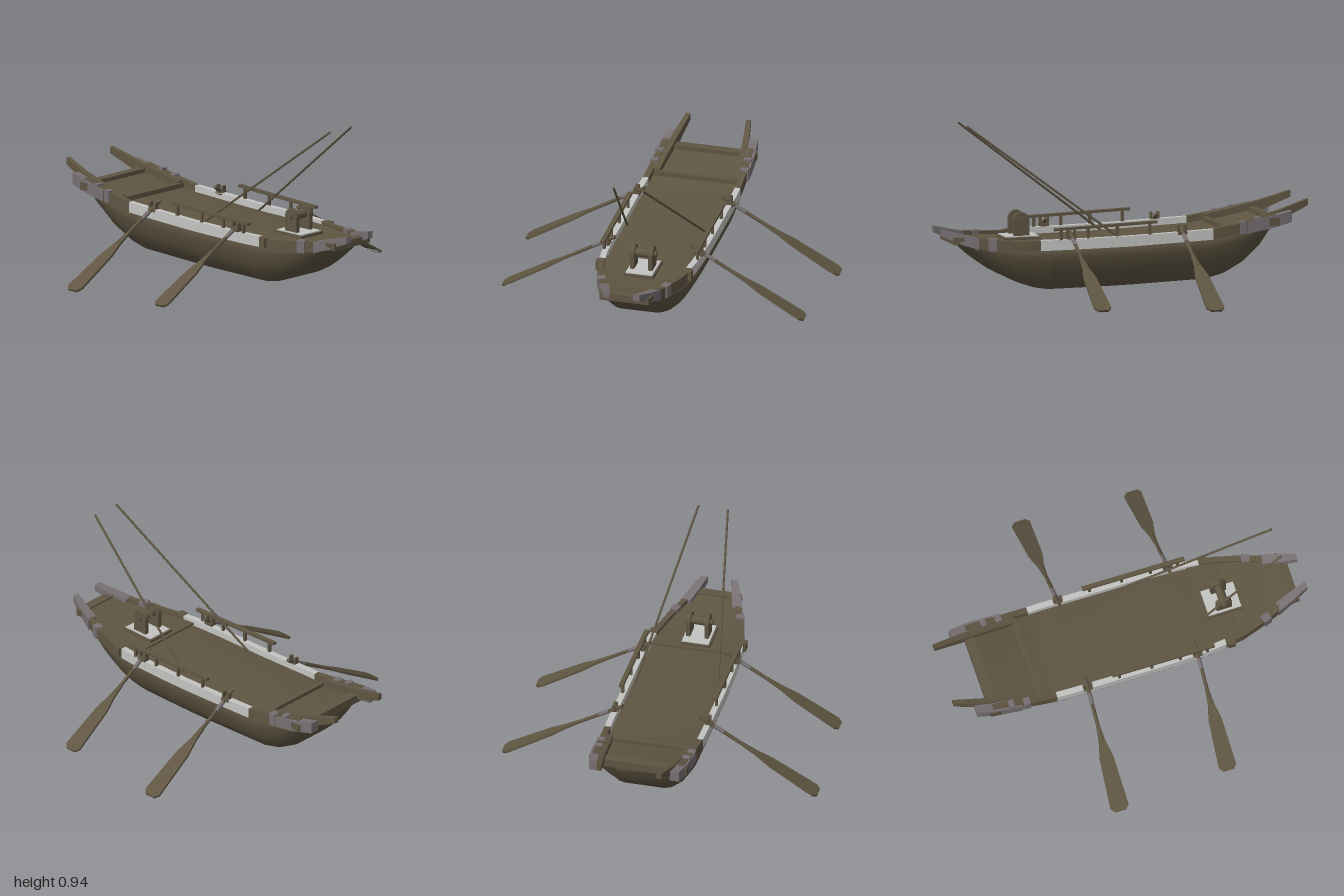
import * as THREE from 'three';

export function createModel() {
  const boat = new THREE.Group();
  boat.name = 'rowingBarge';
  const mat = (name, color, extra = {}) => Object.assign(new THREE.MeshStandardMaterial({ color, side: THREE.DoubleSide, ...extra }), { name });
  const wood = mat('wood', 0x5f5542);
  const white = mat('whitePaint', 0xc4c5c2);
  const grey = mat('greyIron', 0x777073);

  const add = (parent, name, geo, material, x = 0, y = 0, z = 0) => {
    const m = new THREE.Mesh(geo, material);
    m.name = name;
    m.position.set(x, y, z);
    parent.add(m);
    return m;
  };
  const box = (parent, name, w, h, d, material, x, y, z) =>
    add(parent, name, new THREE.BoxGeometry(w, h, d), material, x, y, z);
  // Round bar between two points
  const bar = (parent, name, a, b, r, material, sides = 8) => {
    const p = new THREE.Vector3(...a), q = new THREE.Vector3(...b), d = q.clone().sub(p);
    const m = add(parent, name, new THREE.CylinderGeometry(r, r, d.length(), sides), material);
    m.position.copy(p).add(q).multiplyScalar(0.5);
    m.quaternion.setFromUnitVectors(new THREE.Vector3(0, 1, 0), d.normalize());
    return m;
  };
  // Piecewise linear lookup; tables run from bow (+z) to stern (-z)
  const lookup = (table) => (z) => {
    for (let i = 0; i < table.length - 1; i++) {
      const [z0, v0] = table[i], [z1, v1] = table[i + 1];
      if (z >= z1 || i === table.length - 2) return v0 + (v1 - v0) * THREE.MathUtils.clamp((z - z0) / (z1 - z0), 0, 1);
    }
  };
  const sheer = lookup([[1, 0.39], [0.9, 0.362], [0.8, 0.345], [0.6, 0.33], [0.5, 0.335], [0, 0.342], [-0.45, 0.36], [-0.6, 0.385], [-0.8, 0.425], [-1, 0.488]]);
  const beam = lookup([[0.95, 0.11], [0.9, 0.13], [0.8, 0.172], [0.7, 0.207], [0.6, 0.236], [0.5, 0.253], [0.4, 0.264], [0.2, 0.27], [-0.4, 0.27], [-0.6, 0.262], [-0.82, 0.248]]);
  const keel = lookup([[0.9, 0.31], [0.85, 0.26], [0.8, 0.22], [0.7, 0.15], [0.6, 0.1], [0.5, 0.065], [0.42, 0.053], [0, 0.058], [-0.45, 0.075], [-0.55, 0.1], [-0.65, 0.155], [-0.74, 0.24], [-0.8, 0.345]]);
  const range = (a, b, n) => Array.from({ length: n + 1 }, (_, i) => a + (b - a) * i / n);

  // Skin through rings of equal length, ordered bow to stern
  const loft = (rings, flat = true) => {
    const n = rings[0].length, idx = [];
    for (let i = 0; i < rings.length - 1; i++) for (let j = 0; j < n; j++) {
      const a = i * n + j, b = i * n + (j + 1) % n, c = a + n, d = b + n;
      idx.push(a, c, b, b, c, d);
    }
    const e = (rings.length - 1) * n;
    for (let j = 1; j < n - 1; j++) idx.push(0, j, j + 1, e, e + j + 1, e + j);
    let g = new THREE.BufferGeometry();
    g.setAttribute('position', new THREE.Float32BufferAttribute(rings.flat(2), 3));
    g.setIndex(idx);
    if (flat) g = g.toNonIndexed();
    g.computeVertexNormals();
    return g;
  };
  const ring = (x0, x1, y0, y1, z) => [[x0, y0, z], [x1, y0, z], [x1, y1, z], [x0, y1, z]];

  // Hull with a flat bottom and round bilges
  const half = [[0.42, 0], [0.53, 0.04], [0.7, 0.2], [0.84, 0.43], [0.94, 0.72], [0.98, 1]];
  const hullRings = [...range(0.9, 0.42, 14), ...range(0.3, -0.4, 6), ...range(-0.45, -0.8, 12)].map((z) => {
    const w = beam(z), b = keel(z), t = sheer(z) - 0.035;
    const right = half.map(([px, py]) => [px * w, b + (t - b) * py, z]);
    return [...right, ...right.slice().reverse().map(([x, y]) => [-x, y, z])];
  });
  add(boat, 'hull', loft(hullRings, false), wood);

  // Decks follow the sheer
  const deck = (name, z0, z1, drop) => add(boat, name, loft(range(z0, z1, 12).map((z) => {
    const w = beam(z) - 0.018, y = sheer(z) - drop;
    return ring(-w, w, y - 0.01, y, z);
  })), wood);
  deck('mainDeck', 0.5, -0.54, 0.036);
  deck('foreDeck', 0.93, 0.43, 0.018);
  deck('aftDeck', -0.54, -0.8, 0.045);
  box(boat, 'aftCrossBeam', 0.46, 0.035, 0.025, wood, 0, 0.345, -0.54);
  box(boat, 'transomBeam', 0.52, 0.045, 0.05, wood, 0, 0.383, -0.795);
  box(boat, 'bowBeam', 0.27, 0.04, 0.05, wood, 0, 0.332, 0.92);

  // Winch on its white base plate
  const winch = new THREE.Group();
  winch.name = 'winch';
  winch.position.set(0, 0.325, 0.55);
  boat.add(winch);
  box(winch, 'winchBaseRim', 0.164, 0.014, 0.2, wood, 0, 0, 0);
  box(winch, 'winchBasePlate', 0.146, 0.006, 0.182, white, 0, 0.009, 0);
  const cheek = new THREE.Shape();
  cheek.moveTo(-0.042, 0);
  cheek.lineTo(0.042, 0);
  cheek.lineTo(0.042, 0.095);
  cheek.absarc(0, 0.095, 0.042, 0, Math.PI, false);
  const cheekGeo = new THREE.ExtrudeGeometry(cheek, { depth: 0.022, bevelEnabled: false, curveSegments: 10 });
  cheekGeo.rotateY(Math.PI / 2);
  for (const x of [-0.061, 0.039]) add(winch, 'winchCheek', cheekGeo, wood, x, 0, 0);
  bar(winch, 'winchDrum', [-0.05, 0.095, 0], [0.05, 0.095, 0], 0.024, wood, 12);
  bar(winch, 'winchAxle', [-0.076, 0.095, 0], [0.076, 0.095, 0], 0.015, wood, 10);

  // Oar blade outline, length along x
  const outline = (pts) => {
    const s = new THREE.Shape();
    pts.forEach(([u, w], i) => (i ? s.lineTo(u, w) : s.moveTo(u, w)));
    pts.slice().reverse().forEach(([u, w]) => s.lineTo(u, -w));
    return s;
  };
  const plate = (pts, depth) => {
    const g = new THREE.ExtrudeGeometry(outline(pts), { depth, bevelEnabled: false });
    g.translate(0, 0, -depth / 2);
    g.rotateX(Math.PI / 2);
    return g;
  };
  const bladeGeo = plate([[0.27, 0.01], [0.36, 0.018], [0.45, 0.037], [0.725, 0.05], [0.75, 0.03]], 0.012);
  const tipGeo = plate([[0.7, 0.049], [0.725, 0.05], [0.75, 0.03]], 0.002);

  const oar = (side, z, size) => {
    const g = new THREE.Group();
    g.name = 'oar';
    g.position.set(0.21, 0.385, z);
    g.rotation.set(0, -0.02 * -1, -0.523);
    g.scale.setScalar(size);
    side.add(g);
    bar(g, 'oarLoom', [0, 0, 0], [0.36, 0, 0], 0.01, wood);
    bar(g, 'oarCollar', [0.09, 0, 0], [0.15, 0, 0], 0.0115, grey);
    add(g, 'oarBlade', bladeGeo, wood);
    add(g, 'oarTip', tipGeo, white, 0, -0.0072, 0);
  };

  // Everything along one side, mirrored for the other
  for (const s of [1, -1]) {
    const side = new THREE.Group();
    side.name = s > 0 ? 'leftSide' : 'rightSide';
    side.scale.x = s;
    boat.add(side);

    const wale = (name, z0, z1, n, material) => add(side, name, loft(range(z0, z1, n).map((z) =>
      ring(beam(z) - 0.032, beam(z), sheer(z) - 0.056, sheer(z), z))), material);
    wale('bowWale', 0.9, 0.5, 8, wood);
    wale('whiteWale', 0.5, -0.45, 12, white);
    wale('sternWale', -0.45, -0.8, 5, wood);

    // Bow horn with iron plating
    add(side, 'bowHorn', loft([ring(0.115, 0.17, 0.285, 0.348, 0.82), ring(0.088, 0.137, 0.318, 0.368, 0.91), ring(0.064, 0.1, 0.355, 0.392, 1)]), grey);
    const inset = box(side, 'bowHornInset', 0.008, 0.022, 0.045, wood, 0.138, 0.338, 0.915);
    inset.rotation.set(0.3, -0.37, 0);
    const band = (name, z, d, h) => {
      const b = box(side, name, 0.042, h, d, grey, beam(z) - 0.014, sheer(z) - 0.028, z);
      b.rotation.y = Math.atan2(beam(z - 0.02) - beam(z + 0.02), -0.04) + Math.PI;
      return b;
    };
    band('bowBand', 0.745, 0.045, 0.066);
    box(side, 'bowCleat', 0.04, 0.05, 0.04, wood, 0.243, 0.31, 0.53);

    // Rising stern horn with iron side plate
    add(side, 'sternHorn', loft([ring(0.2, 0.235, 0.33, 0.372, -0.54), ring(0.19, 0.222, 0.345, 0.402, -0.68),
      ring(0.175, 0.207, 0.385, 0.44, -0.84), ring(0.152, 0.178, 0.455, 0.49, -1)]), wood);
    add(side, 'sternPlate', loft([ring(0.222, 0.27, 0.33, 0.388, -0.64), ring(0.21, 0.264, 0.35, 0.415, -0.77),
      ring(0.196, 0.246, 0.378, 0.437, -0.89)]), grey);
    box(side, 'sternPlateInset', 0.008, 0.04, 0.05, wood, 0.262, 0.385, -0.785);
    band('sternBand', -0.615, 0.035, 0.066);
    band('sternBand', -0.7, 0.03, 0.072);

    // Handrail on posts
    add(side, 'handrail', loft([ring(0.244, 0.268, 0.384, 0.398, 0.43), ring(0.244, 0.268, 0.404, 0.418, -0.14)]), wood);
    for (const z of [0.39, 0.24, 0.08, -0.1])
      box(side, 'railPost', 0.014, 0.07, 0.014, wood, 0.256, 0.364, z);

    // Oars in their forked rowlocks
    for (const [z, size] of [[0.335, 0.95], [-0.278, 1]]) {
      box(side, 'rowlockBase', 0.036, 0.016, 0.05, wood, 0.256, 0.346, z);
      for (const dz of [-0.019, 0.019]) box(side, 'rowlockHorn', 0.022, 0.045, 0.012, wood, 0.256, 0.367, z + dz);
      oar(side, z, size);
    }

    // Long raked pole
    bar(side, 'rakedPole', [0.228, 0.305, 0.025], [0.08, 0.938, 0.86], 0.006, wood);
  }
  return boat;
}
